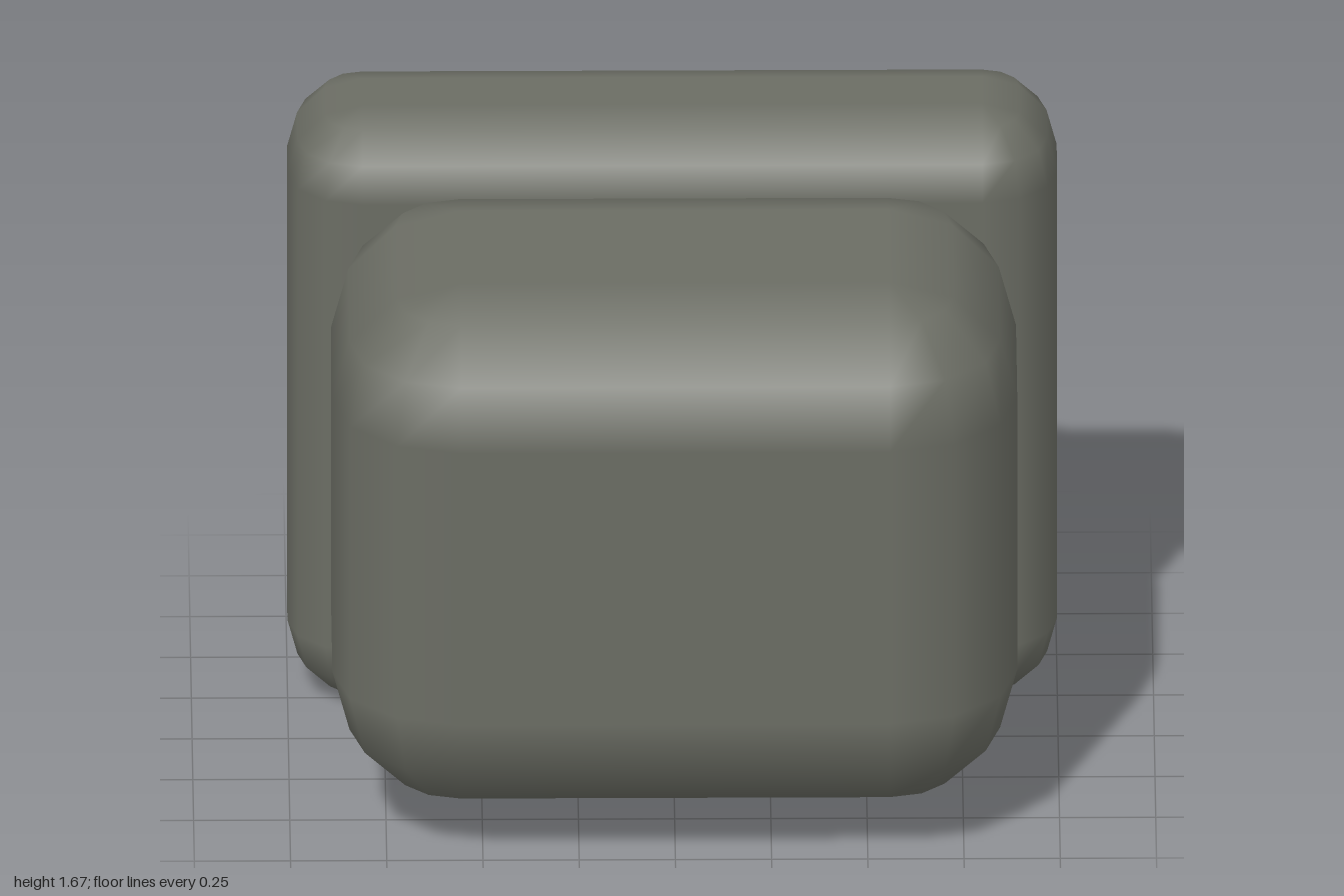
import * as THREE from 'three';

const STEPS = 3; // facets per rounded quarter turn

// Box with rounded edges: the eight octants of a sphere pushed out to the corners
function roundedBox(w, h, d, r) {
  const n = STEPS + 1, cols = 4 * n, rows = 2 * n;
  const pos = [], nor = [], idx = [];
  const quarter = Math.PI / 2;
  for (let j = 0; j < rows; j++) {
    const upper = j < n;
    const theta = (upper ? j : j - 1) * quarter / STEPS;
    for (let i = 0; i < cols; i++) {
      const q = Math.floor(i / n);
      const phi = (q + (i % n) / STEPS) * quarter;
      const nx = Math.sin(theta) * Math.sin(phi);
      const ny = Math.cos(theta);
      const nz = Math.sin(theta) * Math.cos(phi);
      const sx = q < 2 ? 1 : -1, sz = q === 0 || q === 3 ? 1 : -1;
      pos.push(
        sx * (w / 2 - r) + nx * r,
        (upper ? 1 : -1) * (h / 2 - r) + ny * r,
        sz * (d / 2 - r) + nz * r);
      nor.push(nx, ny, nz);
    }
  }
  for (let j = 0; j < rows - 1; j++) {
    for (let i = 0; i < cols; i++) {
      const a = j * cols + i, d2 = j * cols + (i + 1) % cols;
      const b = a + cols, c = d2 + cols;
      const corner = i % n < STEPS; // these columns meet in a point at the poles
      if (!(corner && j === 0)) idx.push(a, b, d2);
      if (!(corner && j === rows - 2)) idx.push(b, c, d2);
    }
  }
  // flat top and bottom
  const last = (rows - 1) * cols;
  idx.push(0, n, 2 * n, 0, 2 * n, 3 * n);
  idx.push(last, last + 2 * n, last + n, last, last + 3 * n, last + 2 * n);

  const g = new THREE.BufferGeometry();
  g.setAttribute('position', new THREE.Float32BufferAttribute(pos, 3));
  g.setAttribute('normal', new THREE.Float32BufferAttribute(nor, 3));
  g.setIndex(idx);
  return g;
}

export function createModel() {
  const group = new THREE.Group();
  const bodyMat = new THREE.MeshStandardMaterial({ color: 0x6b6d64 });
  const studMat = new THREE.MeshStandardMaterial({ color: 0x7b838f });

  const add = (name, geometry, material, x, y, z) => {
    const mesh = new THREE.Mesh(geometry, material);
    mesh.name = name;
    mesh.position.set(x, y, z);
    group.add(mesh);
    return mesh;
  };

  // wide plate at the back
  add('backPlate', roundedBox(2, 1.67, 0.555, 0.195), bodyMat, 0, 0.835, -0.395);

  // chunky block sunk into the plate
  add('frontBlock', roundedBox(1.78, 1.445, 1.11, 0.333), bodyMat, 0, 0.838, 0.325);

  // four flattened studs on the rear face
  const studGeo = new THREE.SphereGeometry(1, 12, 6).scale(0.153, 0.107, 0.153);
  for (const [side, x] of [['left', 0.555], ['right', -0.555]]) {
    for (const [level, y] of [['Upper', 1.28], ['Lower', 0.39]]) {
      add(`${side}${level}Stud`, studGeo, studMat, x, y, -0.73);
    }
  }
  return group;
}
